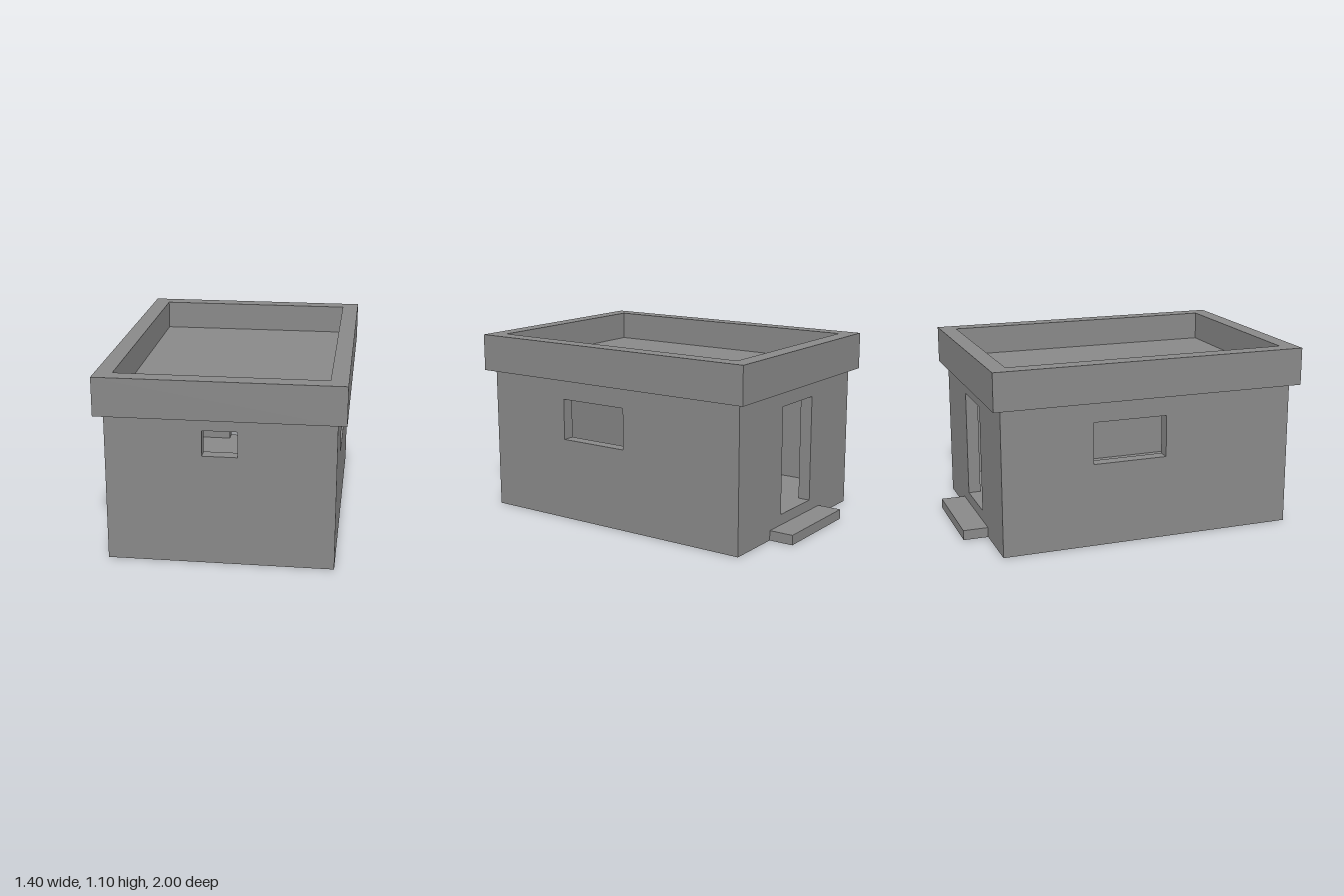
import * as THREE from 'three';

const material = new THREE.MeshStandardMaterial({ color: 0x888888 });

// Flat panel with one rectangular opening; rectangles are [u0, v0, u1, v1]
function panel(name, outer, hole, depth) {
  const trace = (path, [u0, v0, u1, v1]) =>
    path.moveTo(u0, v0).lineTo(u1, v0).lineTo(u1, v1).lineTo(u0, v1).lineTo(u0, v0);
  const shape = new THREE.Shape();
  trace(shape, outer);
  const opening = new THREE.Path();
  trace(opening, hole);
  shape.holes.push(opening);
  const mesh = new THREE.Mesh(
    new THREE.ExtrudeGeometry(shape, { depth, bevelEnabled: false }), material);
  mesh.name = name;
  return mesh;
}

// Box given by its minimum and maximum corners
function block(name, [x0, y0, z0], [x1, y1, z1]) {
  const mesh = new THREE.Mesh(new THREE.BoxGeometry(x1 - x0, y1 - y0, z1 - z0), material);
  mesh.position.set((x0 + x1) / 2, (y0 + y1) / 2, (z0 + z1) / 2);
  mesh.name = name;
  return mesh;
}

export function createModel() {
  const house = new THREE.Group();
  house.name = 'house';

  const halfW = 0.65, back = -0.85, front = 0.95, wallH = 0.875, t = 0.075;
  const innerW = halfW - t, floorY = 0.125, roofTop = 1.1;

  // Front wall with a small window, back wall with the doorway
  const frontWall = panel('frontWall', [-innerW, 0, innerW, wallH], [-0.1, 0.65, 0.1, 0.8], t);
  frontWall.position.z = front - t;
  const backWall = panel('backWall', [-innerW, 0, innerW, wallH], [-0.175, floorY, 0.175, 0.775], t);
  backWall.position.z = back;

  // Side walls, their windows offset from each other
  const leftWall = panel('leftWall', [back, 0, front, wallH], [-0.05, 0.5, 0.4, 0.75], t);
  leftWall.position.x = halfW;
  const rightWall = panel('rightWall', [back, 0, front, wallH], [-0.3, 0.5, 0.15, 0.75], t);
  rightWall.position.x = -innerW;
  for (const wall of [leftWall, rightWall]) wall.rotation.y = -Math.PI / 2;

  // Raised floor and entrance step
  const floor = block('floor', [-innerW, 0, back + t], [innerW, floorY, front - t]);
  const step = block('doorStep', [-0.3, 0, -1], [0.3, 0.06, back]);

  // Flat roof recessed inside an overhanging parapet
  const parapet = panel('parapet', [-0.7, -0.9, 0.7, 1], [-0.6, -0.8, 0.6, 0.9], roofTop - wallH);
  parapet.rotation.x = Math.PI / 2;
  parapet.position.y = roofTop;
  const roof = block('roofSlab', [-0.6, wallH, -0.8], [0.6, 0.925, 0.9]);

  house.add(frontWall, backWall, leftWall, rightWall, floor, step, parapet, roof);
  return house;
}
